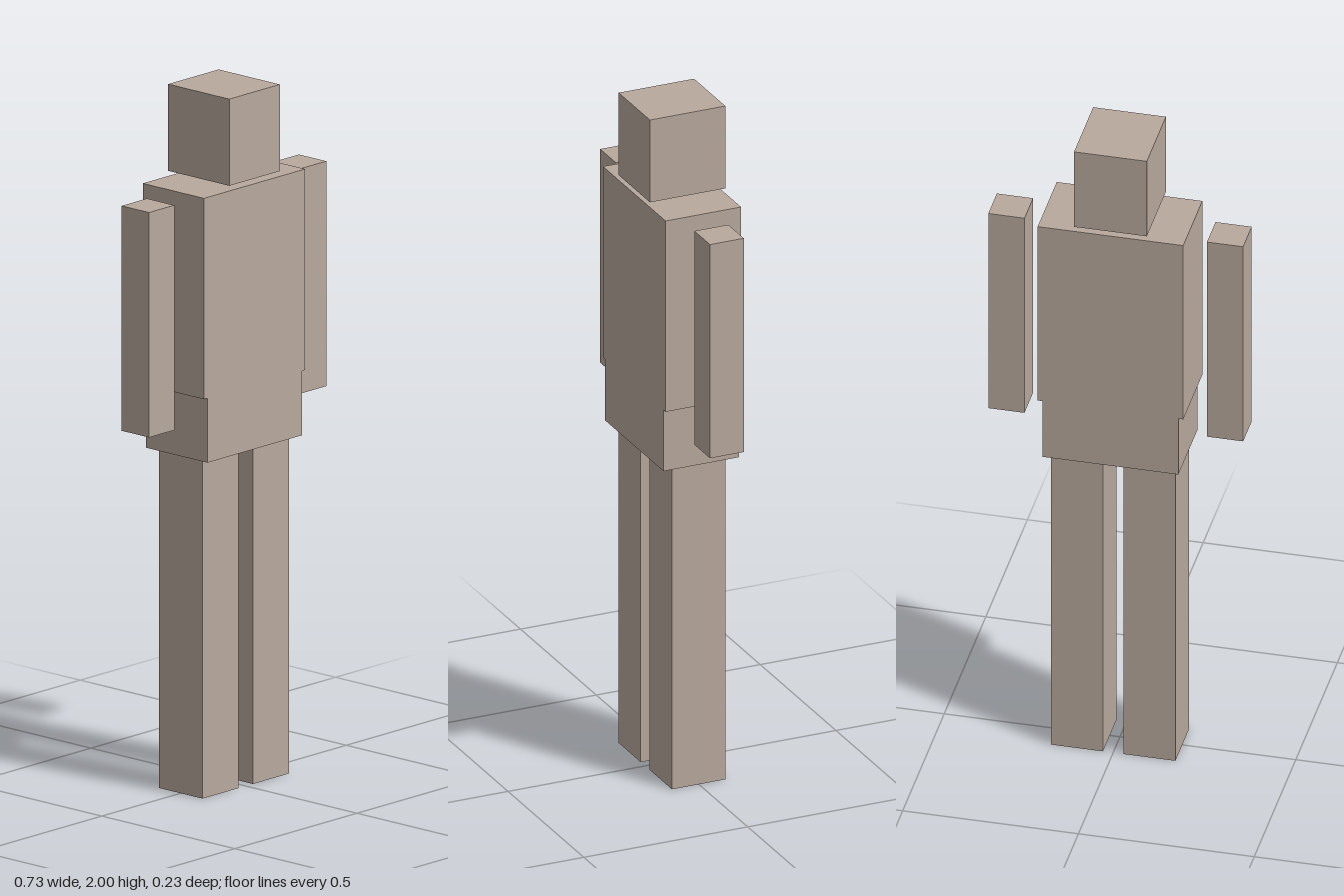
import * as THREE from 'three';

export function createModel() {
  const model = new THREE.Group();
  const clay = new THREE.MeshStandardMaterial({ color: 0xb8a99d });
  clay.name = 'warm grey clay';

  // Box given by its width, depth, bottom, top and sideways position
  function block(name, width, depth, bottom, top, x = 0) {
    const mesh = new THREE.Mesh(new THREE.BoxGeometry(width, top - bottom, depth), clay);
    mesh.position.set(x, (bottom + top) / 2, 0);
    mesh.name = name;
    model.add(mesh);
  }

  // Head, chest and hips, with a small gap at the neck
  block('head', 0.207, 0.23, 1.751, 2);
  block('torso', 0.414, 0.23, 1.159, 1.736);
  block('hips', 0.386, 0.23, 0.974, 1.159);

  // Paired limbs; the arms float clear of the torso
  for (const [side, s] of [['left', 1], ['right', -1]]) {
    block(side + 'Arm', 0.103, 0.103, 1.069, 1.715, s * 0.311);
    block(side + 'Leg', 0.148, 0.164, 0, 0.974, s * 0.103);
  }
  return model;
}
